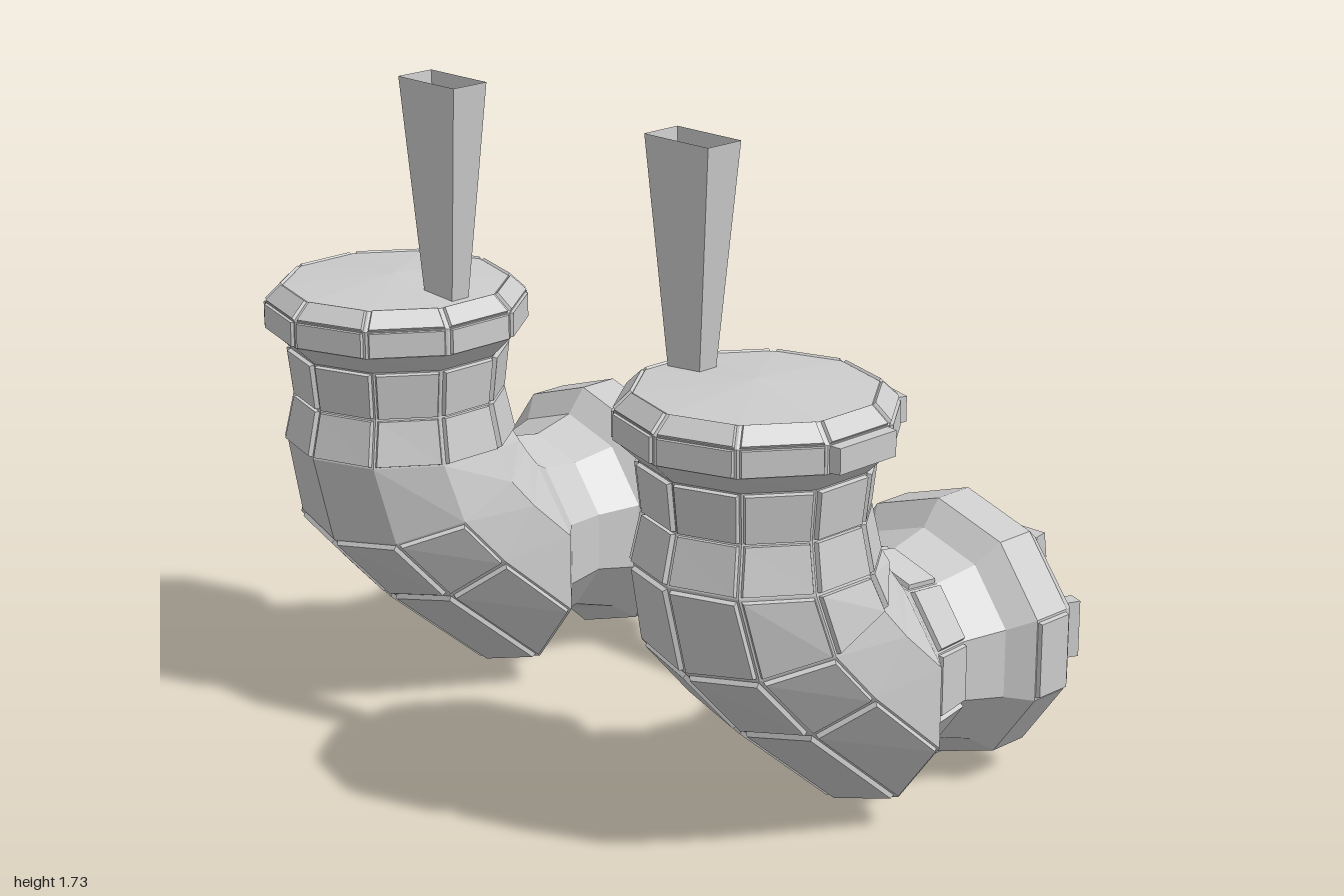
import * as THREE from 'three';

const SIDES = 10;
const mat = new THREE.MeshStandardMaterial({ color: 0xcccccc, flatShading: true });
const openMat = new THREE.MeshStandardMaterial({ color: 0xcccccc, flatShading: true, side: THREE.DoubleSide });

// Cross-sections of a bent pipe: [outer z, outer y, inner z, inner y, half width]
const PIPE = [
  [0.305, 1.19, 0.305, 1.19, 0], [0.6, 1.168, 0.01, 1.168, 0.295], [0.645, 1.125, -0.035, 1.125, 0.34],
  [0.645, 1.055, -0.035, 1.055, 0.34], [0.585, 1.0, 0.02, 1.0, 0.285], [0.57, 0.87, 0.035, 0.87, 0.27],
  [0.6, 0.745, 0.005, 0.745, 0.295], [0.54, 0.51, 0, 0.735, 0.325], [0.35, 0.31, 0, 0.72, 0.34],
  [0, 0.02, 0, 0.7, 0.35], [-0.07, 0.1, -0.07, 0.65, 0.275], [-0.19, 0.12, -0.19, 0.63, 0.255],
  [-0.31, 0.08, -0.31, 0.66, 0.29], [-0.365, 0.03, -0.365, 0.725, 0.348], [-0.48, 0.03, -0.48, 0.725, 0.348],
  [-0.52, 0.06, -0.52, 0.69, 0.325],
];
// Smooth domed end and stepped dial end
const DOME_END = [
  [-0.555, 0.12, -0.555, 0.63, 0.265], [-0.59, 0.22, -0.59, 0.53, 0.16], [-0.612, 0.375, -0.612, 0.375, 0],
];
const DIAL_END = [
  [-0.525, 0.1, -0.525, 0.65, 0.275], [-0.56, 0.11, -0.56, 0.64, 0.265], [-0.585, 0.18, -0.585, 0.57, 0.195],
  [-0.59, 0.24, -0.59, 0.51, 0.135], [-0.605, 0.375, -0.605, 0.375, 0],
];

function ringPoint([oz, oy, iz, iy, w], i) {
  const a = (i * 2 * Math.PI) / SIDES;
  const c = Math.cos(a);
  return new THREE.Vector3(w * Math.sin(a), (oy + iy) / 2 + ((oy - iy) / 2) * c, (oz + iz) / 2 + ((oz - iz) / 2) * c);
}

function facet(rows, r, i) {
  return [ringPoint(rows[r], i), ringPoint(rows[r + 1], i), ringPoint(rows[r + 1], i + 1), ringPoint(rows[r], i + 1)];
}

function meshFromPoints(name, points) {
  const geo = new THREE.BufferGeometry().setFromPoints(points);
  geo.computeVertexNormals();
  const mesh = new THREE.Mesh(geo, mat);
  mesh.name = name;
  return mesh;
}

function loft(rows) {
  const pts = [];
  for (let r = 0; r < rows.length - 1; r++) {
    for (let i = 0; i < SIDES; i++) {
      const [a, b, c, d] = facet(rows, r, i);
      if (rows[r + 1][4] > 0) pts.push(a, b, c);
      if (rows[r][4] > 0) pts.push(a, c, d);
    }
  }
  return meshFromPoints('pipeBody', pts);
}

// Raised plate lying on one facet of the pipe
function plate(name, rows, r, i, thick = 0.012, inset = 0.05) {
  const base = facet(rows, r, i);
  const [a, b, c, d] = base;
  const normal = c.clone().sub(a).cross(d.clone().sub(b)).normalize();
  const mid = a.clone().add(b).add(c).add(d).multiplyScalar(0.25);
  const low = base.map((p) => p.clone().lerp(mid, inset).addScaledVector(normal, -0.005));
  const top = base.map((p) => p.clone().lerp(mid, inset + 0.04).addScaledVector(normal, thick));
  const pts = [top[0], top[1], top[2], top[0], top[2], top[3]];
  for (let k = 0; k < 4; k++) {
    const n = (k + 1) % 4;
    pts.push(low[k], low[n], top[n], low[k], top[n], top[k]);
  }
  return meshFromPoints(name, pts);
}

function box(name, w, h, d, x, y, z) {
  const mesh = new THREE.Mesh(new THREE.BoxGeometry(w, h, d), mat);
  mesh.name = name;
  mesh.position.set(x, y, z);
  return mesh;
}

// Square funnel, open at the top
function chimney(x) {
  const geo = new THREE.CylinderGeometry(Math.SQRT2, Math.SQRT2 / 2, 0.575, 4, 1, true).toNonIndexed();
  geo.rotateY(Math.PI / 4);
  geo.scale(0.105, 1, 0.055);
  geo.computeVertexNormals();
  const mesh = new THREE.Mesh(geo, openMat);
  mesh.name = 'chimney';
  mesh.position.set(x, 1.4475, 0.31);
  return mesh;
}

function pipe(name, x, end) {
  const group = new THREE.Group();
  group.name = name;
  group.position.x = x;
  const rows = [...PIPE, ...end];
  group.add(loft(rows));
  for (let i = 0; i < SIDES; i++) {
    group.add(plate('capBevelPlate', rows, 1, i, 0.008), plate('capRimPlate', rows, 2, i, 0.008));
    group.add(plate('neckPlate', rows, 4, i), plate('neckPlate', rows, 5, i));
  }
  for (const i of [8, 9, 0, 1]) {
    group.add(plate('elbowPlate', rows, 7, i), plate('elbowPlate', rows, 8, i));
  }
  for (const i of [2, 7]) group.add(plate('flangePlate', rows, 13, i, 0.012));
  return group;
}

export function createModel() {
  const model = new THREE.Group();
  model.name = 'twinPipes';

  const right = pipe('rightPipe', -0.655, DOME_END);
  const left = pipe('leftPipe', 0.645, DIAL_END);

  // Extra plating on the left pipe
  const rows = [...PIPE, ...DIAL_END];
  for (const i of [9, 0, 1, 2, 3]) left.add(plate('upperElbowPlate', rows, 6, i));
  for (let i = 0; i < SIDES; i++) left.add(plate('tubePlate', rows, 10, i));
  left.add(plate('flangeFoot', rows, 13, 9, 0.028));
  left.add(plate('rimLug', rows, 2, 2, 0.03), plate('rimLug', rows, 2, 4, 0.03));

  // Dial blocks with a gap, and two handles
  for (let i = 0; i < SIDES; i++) {
    if (i === 3) continue;
    left.add(plate('dialBlock', rows, 17, i, 0.025, 0.08));
  }
  const upper = box('dialHandle', 0.12, 0.07, 0.1, 0.055, 0.545, -0.61);
  upper.rotation.x = 0.15;
  const side = box('dialHandle', 0.045, 0.15, 0.08, 0.23, 0.375, -0.59);
  side.rotation.y = -0.4;
  left.add(upper, side);
  model.add(right, left);

  model.add(chimney(-0.45), chimney(0.435));

  // Cross bar with its end collars
  model.add(box('crossBar', 0.62, 0.15, 0.1, 0, 0.375, -0.425));
  model.add(box('barCollar', 0.08, 0.215, 0.125, -0.32, 0.37, -0.4225));
  model.add(box('barCollar', 0.09, 0.215, 0.125, 0.31, 0.37, -0.4225));
  return model;
}
